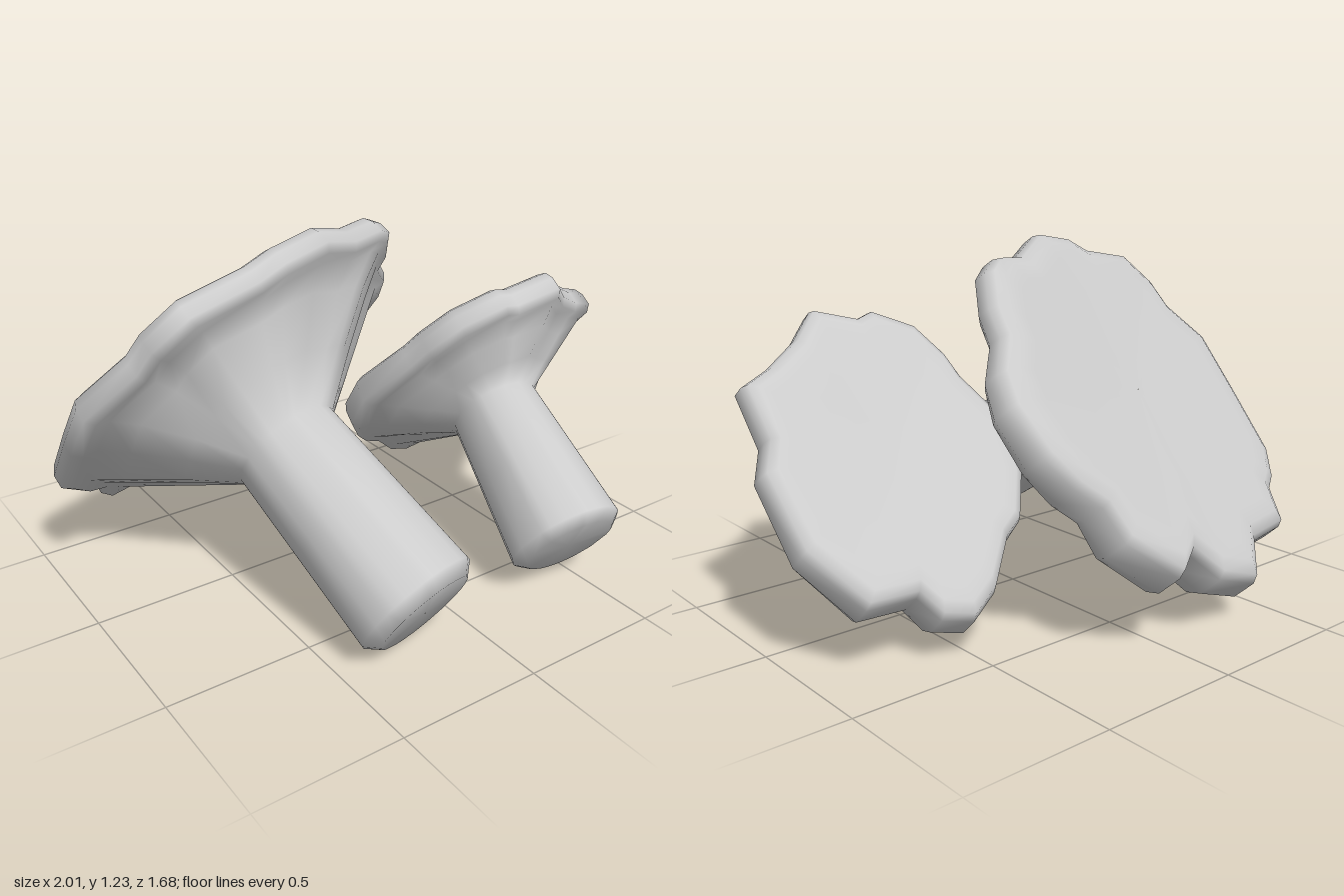
import * as THREE from 'three';

const V = (x, y, z) => new THREE.Vector3(x, y, z);

// One funnel mushroom: a wavy cap outline (x, z pairs, clockwise from above) lying in a
// tilted plane, joined by smooth cross-section loops to a slanted stem.
function mushroom(name, p, material) {
  const c = p.center;
  const normal = V(-p.slopeX, 1, -p.slopeZ).normalize();
  const axis = p.neck.clone().sub(p.foot).normalize();
  const spokes = [];
  for (let i = 0; i < p.outline.length; i += 2) {
    const dx = p.outline[i] - c.x, dz = p.outline[i + 1] - c.z;
    spokes.push(V(dx, p.slopeX * dx + p.slopeZ * dz, dz));
  }
  const n = spokes.length;

  // Round ring across the stem, lined up with the cap's spokes
  const stemRing = (at, r) => spokes.map((s) =>
    s.clone().projectOnPlane(axis).setLength(r).add(at));
  // Copy of the outline, scaled about the cap centre and lifted along the cap normal;
  // backDrop thickens the rim downwards towards the back
  const capRing = (scale, lift, backDrop = 0) => spokes.map((s) =>
    s.clone().multiplyScalar(scale).add(c)
      .addScaledVector(normal, lift - backDrop * Math.max(0, -s.z)));

  const buildLoops = (loops) => {
    const pos = [], idx = [];
    loops.forEach((loop) => loop.forEach((v) => pos.push(v.x, v.y, v.z)));
    for (let r = 0; r < loops.length - 1; r++) {
      for (let i = 0; i < n; i++) {
        const j = (i + 1) % n;
        const a = r * n + i, b = r * n + j, d = a + n, e = b + n;
        idx.push(a, d, b, b, d, e);
      }
    }
    const g = new THREE.BufferGeometry();
    g.setAttribute('position', new THREE.Float32BufferAttribute(pos, 3));
    g.setIndex(idx);
    g.computeVertexNormals();
    return g;
  };

  const along = (t) => p.foot.clone().lerp(p.neck, t);
  const neck = stemRing(p.neck, p.neckRadius);
  const under = capRing(0.88, -0.06, 0.1);
  // Underside between neck and rim, hollowed on the front side
  const flare = (t) => neck.map((v, i) => v.clone().lerp(under[i], t)
    .addScaledVector(normal, p.hollow * Math.max(0, spokes[i].z)));

  const body = new THREE.Mesh(buildLoops([
    // stem foot and shaft
    stemRing(along(-0.06), 0.001),
    stemRing(along(-0.06), p.footRadius * 0.8),
    stemRing(along(0), p.footRadius),
    stemRing(along(0.5), (p.footRadius + p.neckRadius) / 2),
    neck,
    // flared underside
    flare(0.35), flare(0.75), under,
    // thick rounded rim
    capRing(0.95, -0.055, 0.12), capRing(0.99, -0.03, 0.08), capRing(0.985, 0.015),
    capRing(0.96, 0.045), capRing(0.9, 0.06),
    // nearly flat top
    capRing(0.8, 0.058), capRing(0.5, 0.05), capRing(0.2, 0.04), capRing(0.001, 0.04),
  ]), material);
  body.name = name;
  return body;
}

export function createModel() {
  const group = new THREE.Group();
  group.name = 'mushroomPair';
  const grey = new THREE.MeshStandardMaterial({ color: 0xcccccc });
  grey.name = 'pale grey';

  group.add(mushroom('largeMushroom', {
    center: V(-0.28, 0.7, -0.3), slopeX: 0.4, slopeZ: 1.1, hollow: 0.07,
    foot: V(-0.235, 0.185, 0.71), footRadius: 0.215,
    neck: V(-0.35, 0.53, 0.15), neckRadius: 0.19,
    outline: [
      -0.36, -0.8, -0.17, -0.81, -0.07, -0.76, 0.05, -0.83, 0.23, -0.77, 0.25, -0.69,
      0.34, -0.66, 0.41, -0.6, 0.45, -0.49, 0.42, -0.4, 0.31, -0.28, 0.29, -0.2,
      0.21, -0.08, 0.13, -0.02, 0, 0.02, -0.2, 0.15, -0.38, 0.19, -0.47, 0.18,
      -0.74, 0.24, -0.84, 0.18, -0.86, 0.1, -1.01, 0.03, -1.0, -0.15, -0.98, -0.35,
      -0.89, -0.45, -0.81, -0.5, -0.76, -0.6, -0.49, -0.68,
    ],
  }, grey));

  group.add(mushroom('smallMushroom', {
    center: V(0.52, 0.55, -0.02), slopeX: 0.05, slopeZ: 1.07, hollow: 0,
    foot: V(0.4, 0.2, 0.71), footRadius: 0.2,
    neck: V(0.45, 0.5, 0.27), neckRadius: 0.16,
    outline: [
      0.52, -0.43, 0.63, -0.41, 0.68, -0.35, 0.86, -0.35, 0.99, -0.21, 1.01, -0.02,
      0.95, 0.06, 0.95, 0.2, 0.84, 0.24, 0.7, 0.31, 0.59, 0.39, 0.43, 0.36,
      0.36, 0.38, 0.21, 0.33, 0.14, 0.24, 0.12, 0.17, 0.02, 0.03, 0.07, -0.12,
      0.17, -0.23, 0.26, -0.27, 0.4, -0.38,
    ],
  }, grey));

  return group;
}
